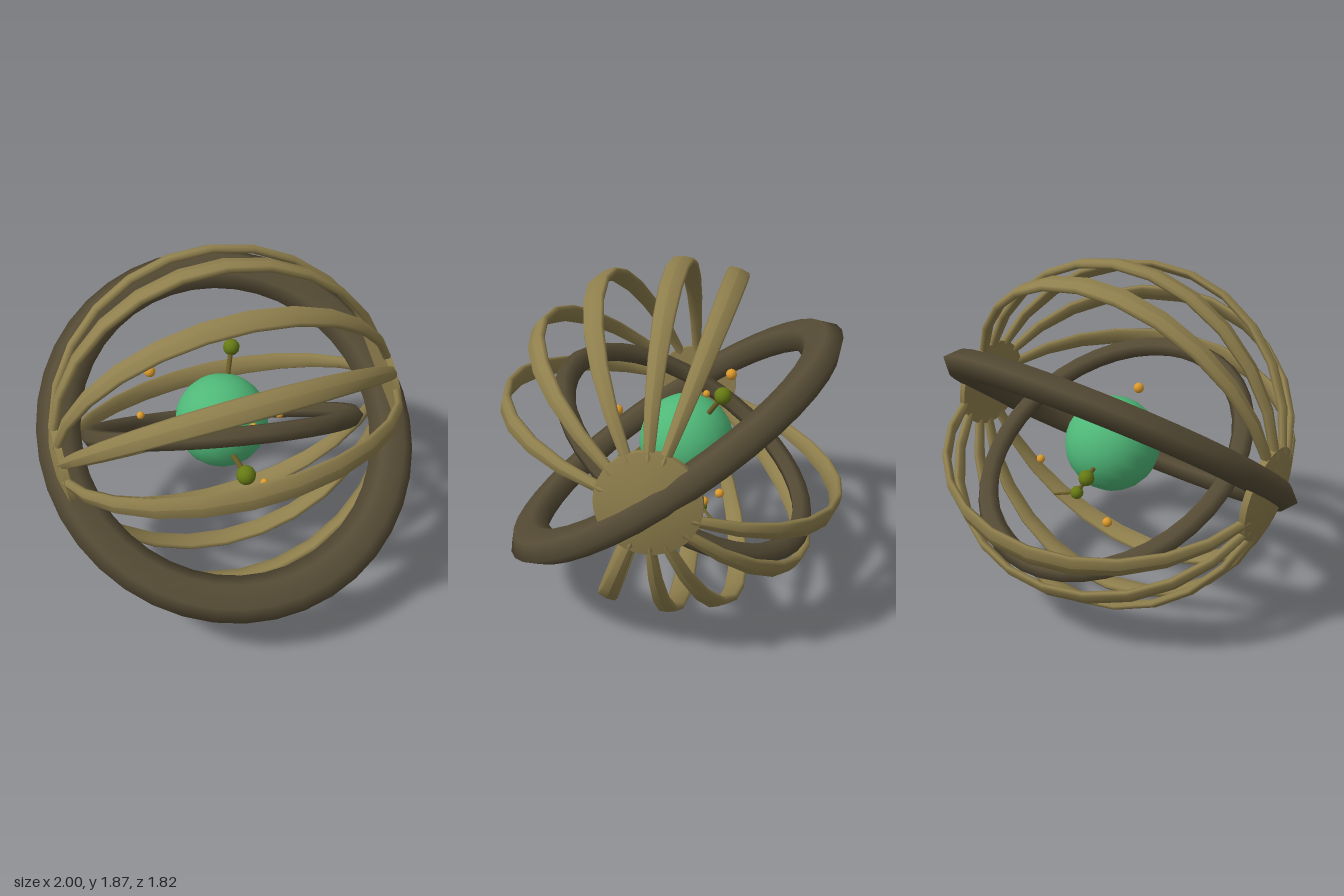
import * as THREE from 'three';

const mat = (color) => new THREE.MeshStandardMaterial({ color });
const BRONZE = mat(0x8f7f4d), DARK = mat(0x554b35), GREEN = mat(0x4fb878);
const OLIVE = mat(0x667a14), TWIG = mat(0x6b5f28), AMBER = mat(0xdc9a2c);
const rad = THREE.MathUtils.degToRad;
const CENTRE = [0, 0.93, -0.004];
const CORE = [-0.015, 0.895, -0.06];

function add(parent, name, geometry, material, pos = [0, 0, 0]) {
  const mesh = new THREE.Mesh(geometry, material);
  mesh.name = name;
  mesh.position.set(...pos);
  parent.add(mesh);
  return mesh;
}

// Flattened six-sided ring, slightly oval; skew turns the long axis in its own plane
function ring(parent, name, radius, half, thick, pos, tilt, skew) {
  const g = new THREE.TorusGeometry(radius, half, 6, 40);
  g.scale(0.997, 1.05, thick / half).rotateZ(rad(skew));
  add(parent, name, g, DARK, pos).rotation.x = rad(tilt);
}

// Half hoop from pole to pole; the squarish band narrows towards the poles (x axis)
function ribGeometry() {
  const half = 0.022;
  const g = new THREE.TorusGeometry(0.914, half, 8, 13, Math.PI);
  const p = g.attributes.position;
  for (let i = 0; i < p.count; i++) {
    const toEquator = Math.abs(Math.sin(Math.atan2(p.getY(i), p.getX(i))));
    const z = p.getZ(i) / half;
    p.setZ(i, Math.sign(z) * Math.sqrt(Math.abs(z)) * (0.014 + 0.046 * toEquator));
  }
  g.computeVertexNormals();
  return g;
}

function rod(parent, name, from, to, r) {
  const a = new THREE.Vector3(...from), b = new THREE.Vector3(...to);
  const dir = b.clone().sub(a);
  const mid = a.clone().add(b).multiplyScalar(0.5);
  const mesh = add(parent, name, new THREE.CylinderGeometry(r, r, dir.length(), 8), TWIG, mid.toArray());
  mesh.quaternion.setFromUnitVectors(new THREE.Vector3(0, 1, 0), dir.normalize());
}

export function createModel() {
  const model = new THREE.Group();
  model.name = 'ringedSphere';

  // Cage of ribs between two hubs on a slightly tilted axis
  const cage = new THREE.Group();
  cage.name = 'cage';
  cage.position.set(...CENTRE);
  cage.quaternion.setFromUnitVectors(new THREE.Vector3(1, 0, 0), new THREE.Vector3(0.88, 0.11, -0.11).normalize());
  model.add(cage);
  const rib = ribGeometry();
  // Rib directions in degrees, from the front over the top to the underside
  for (const angle of [14.8, 39.7, 64.4, 89.9, 108.4, 197.5, 218.7, 246.5, 266.1, 290.2]) {
    add(cage, 'rib', rib, BRONZE).rotation.x = rad(90 - angle);
  }
  const hubProfile = [[0, 0.865], [0.25, 0.865], [0.25, 0.865], [0.25, 0.898], [0.25, 0.898], [0.13, 0.931], [0, 0.938]]
    .map(([x, y]) => new THREE.Vector2(x, y));
  const hub = new THREE.LatheGeometry(hubProfile, 32);
  for (const side of [1, -1]) {
    add(cage, side > 0 ? 'leftHub' : 'rightHub', hub, BRONZE).rotation.z = -side * Math.PI / 2;
  }

  // Two crossing dark rings
  ring(model, 'outerRing', 0.885, 0.115, 0.075, [0, 0.92, 0.02], -54.7, 15);
  ring(model, 'innerRing', 0.708, 0.058, 0.05, [-0.015, 0.86, -0.07], 57.8, 0);

  // Core with budded stalks: bud centre, radius, stalk root
  add(model, 'core', new THREE.SphereGeometry(0.253, 20, 14), GREEN, CORE);
  const buds = [
    [[-0.38, 0.93, 0.07], 0.055, [-0.15, 0.92, 0]],
    [[0.065, 0.76, 0.26], 0.053, [0, 0.845, 0.16]],
    [[0.14, 0.595, -0.18], 0.036, [0.06, 0.75, -0.12]],
    [[-0.115, 0.84, -0.375], 0.041, CORE],
    [[0.07, 1.22, -0.27], 0.045, CORE],
  ];
  for (const [pos, r, root] of buds) {
    rod(model, 'stalk', root, pos, r * 0.3);
    add(model, 'bud', new THREE.SphereGeometry(r, 12, 10), OLIVE, pos);
  }
  rod(model, 'twig', [0.14, 0.595, -0.18], [0.235, 0.585, -0.26], 0.008);

  // Small floating beads
  const beads = [
    [[0.095, 1.08, 0.285], 0.029],
    [[-0.45, 0.97, -0.065], 0.021],
    [[0.16, 0.715, 0.28], 0.021],
    [[0.345, 0.757, -0.245], 0.023],
    [[-0.12, 0.525, -0.225], 0.026],
    [[-0.38, 1.14, -0.22], 0.031],
  ];
  for (const [pos, r] of beads) add(model, 'bead', new THREE.SphereGeometry(r, 12, 8), AMBER, pos);

  return model;
}
